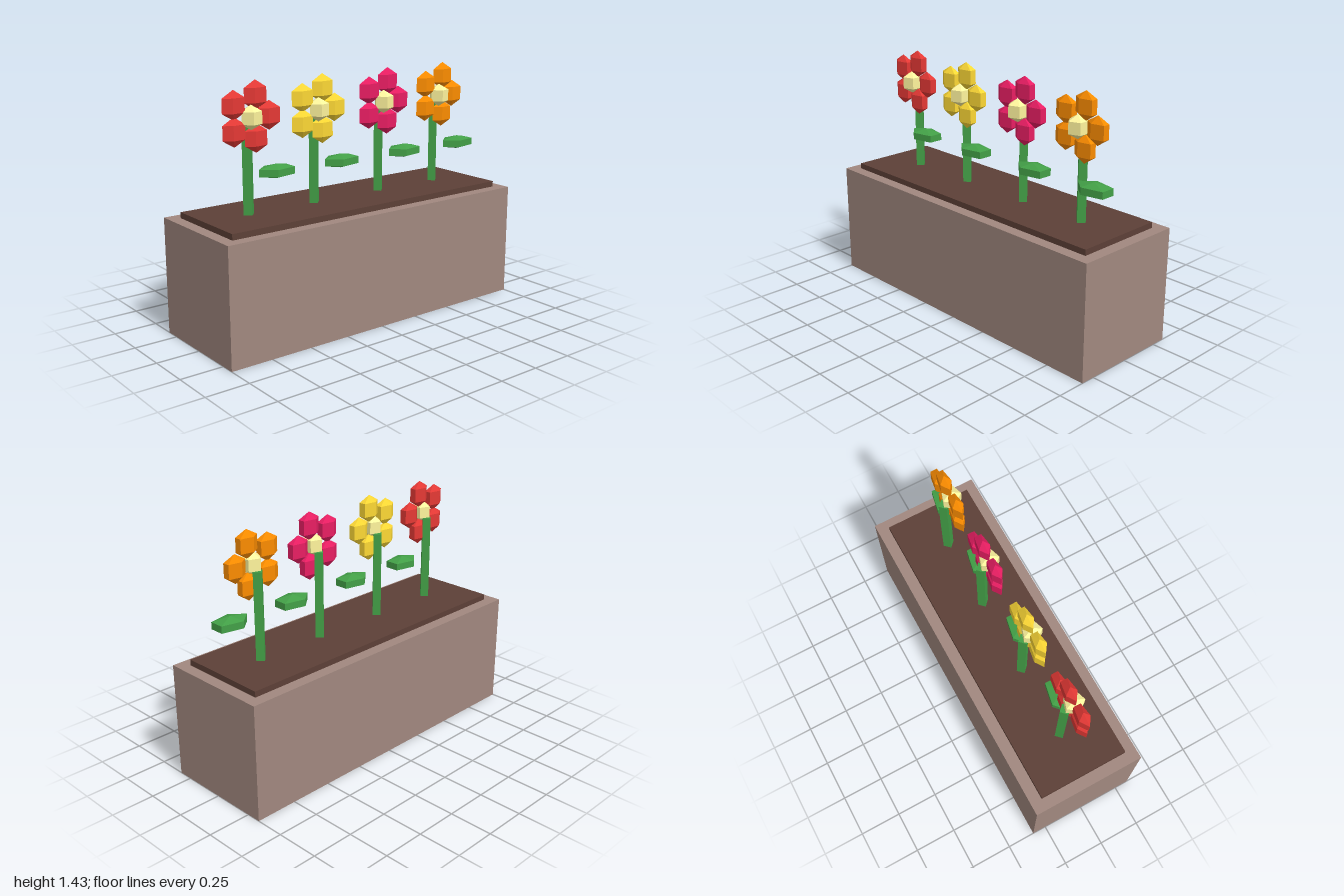
import * as THREE from 'three';

const paint = (color) => new THREE.MeshStandardMaterial({ color, flatShading: true });

const GREEN = paint(0x43a047);
const CREAM = paint(0xfff59d);

function part(name, geometry, material, x, y, z) {
  const mesh = new THREE.Mesh(geometry, material);
  mesh.name = name;
  mesh.position.set(x, y, z);
  return mesh;
}

// Faceted blob shared by petals, flower centres and leaves
const blob = (radius) => new THREE.SphereGeometry(radius, 5, 3);

function createFlower(color) {
  const flower = new THREE.Group();
  flower.name = 'flower';
  const headY = 1.233;

  // Four-sided stem rooted in the soil
  const stem = new THREE.CylinderGeometry(0.033, 0.033, 0.533, 4);
  flower.add(part('stem', stem, GREEN, 0, 0.933, 0));

  // Flat leaf reaching out to the side and forward
  const leaf = part('leaf', blob(0.08), GREEN, 0.14, 0.933, 0.067);
  leaf.scale.set(1.62, 0.5, 1.03);
  flower.add(leaf);

  // Ring of five flattened petals, all kept upright
  const petalMaterial = paint(color);
  const petalGeometry = blob(0.08);
  for (let i = 0; i < 5; i++) {
    const a = (i / 5) * Math.PI * 2;
    const petal = part('petal', petalGeometry, petalMaterial,
      0.12 * Math.cos(a), headY + 0.12 * Math.sin(a), 0.033);
    petal.scale.z = 0.5;
    flower.add(petal);
  }

  flower.add(part('flowerCentre', blob(0.067), CREAM, 0, headY, 0.047));
  return flower;
}

export function createModel() {
  const model = new THREE.Group();
  model.name = 'flowerPlanter';

  // Planter box with a slab of soil standing slightly proud
  model.add(part('planterBox', new THREE.BoxGeometry(2, 0.667, 0.667), paint(0xa1887f), 0, 0.3335, 0));
  model.add(part('soil', new THREE.BoxGeometry(1.867, 0.067, 0.533), paint(0x5d4037), 0, 0.667, 0));

  // Row of flowers: red, yellow, pink, orange
  const row = [[-0.667, 0xe53935], [-0.233, 0xfdd835], [0.233, 0xe91e63], [0.667, 0xfb8c00]];
  for (const [x, color] of row) {
    const flower = createFlower(color);
    flower.position.x = x;
    model.add(flower);
  }
  return model;
}
